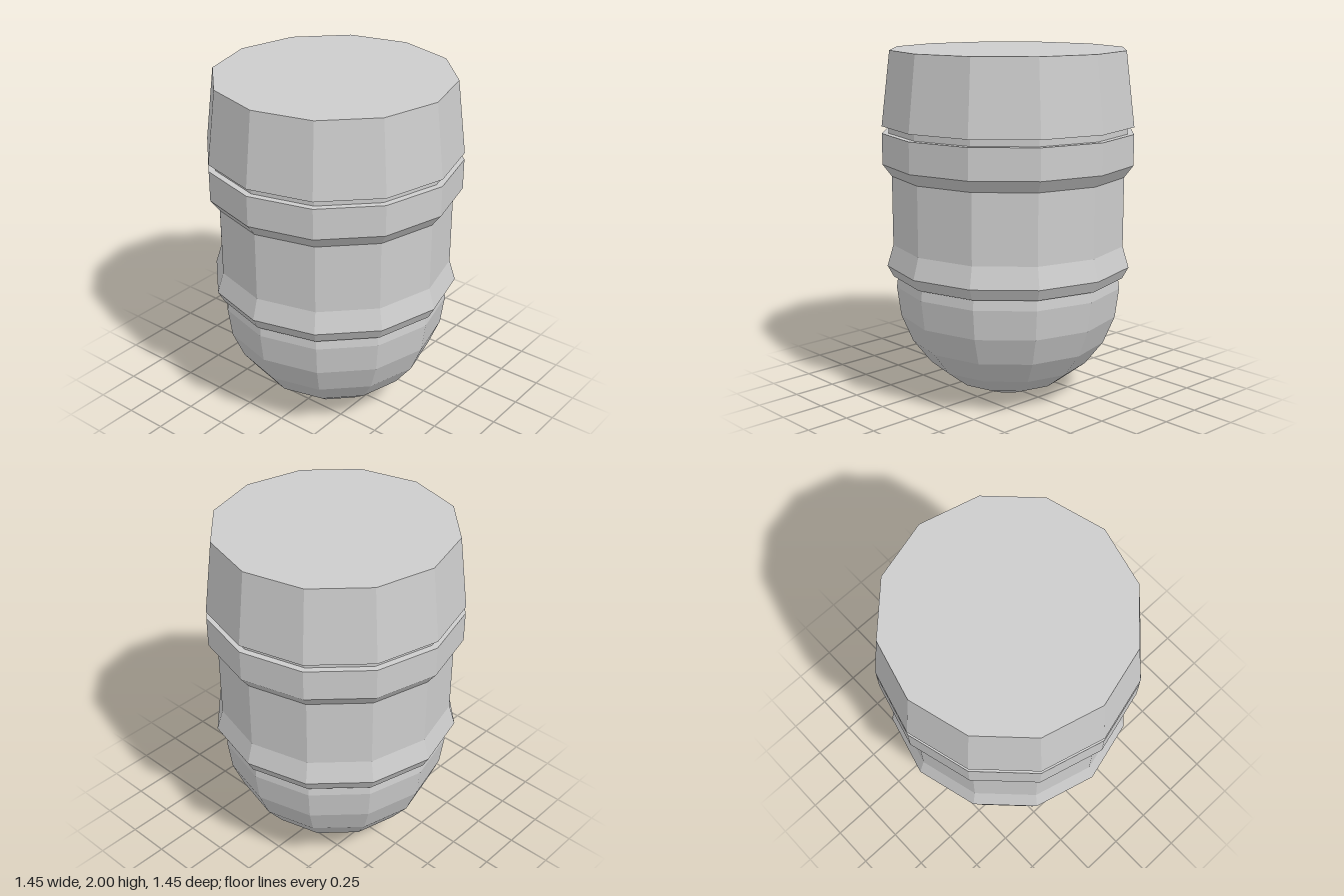
import * as THREE from 'three';

const SIDES = 12;

export function createModel() {
  const group = new THREE.Group();
  group.name = 'capsule';
  const grey = new THREE.MeshStandardMaterial({ color: 0xcccccc, flatShading: true });
  grey.name = 'light grey';

  // Revolve a [radius, height] profile, listed from bottom to top
  function addLathe(name, profile) {
    const points = profile.map(([r, y]) => new THREE.Vector2(r, y));
    const mesh = new THREE.Mesh(new THREE.LatheGeometry(points, SIDES), grey);
    mesh.name = name;
    group.add(mesh);
  }

  // Rounded base: a sphere in 15 degree rings, running up inside the sleeve
  const R = 0.657;
  const dome = [];
  for (let i = 0; i <= 7; i++) {
    const a = (i * Math.PI) / 12;
    dome.push([R * Math.sin(a), R * (1 - Math.cos(a))]);
  }
  addLathe('roundedBase', dome);

  // Sleeve with a flared lower lip and an upper collar
  addLathe('sleeve', [
    [0.6, 0.72], [0.673, 0.72], [0.708, 0.785], [0.672, 0.905],
    [0.672, 1.3], [0.723, 1.368], [0.723, 1.543], [0.6, 1.543],
  ]);

  // Recessed neck between the collar and the cap
  addLathe('neck', [[0.686, 1.543], [0.686, 1.583]]);

  // Tapered cap with a flat top
  addLathe('cap', [[0.6, 1.583], [0.723, 1.583], [0.672, 2], [0, 2]]);

  return group;
}
